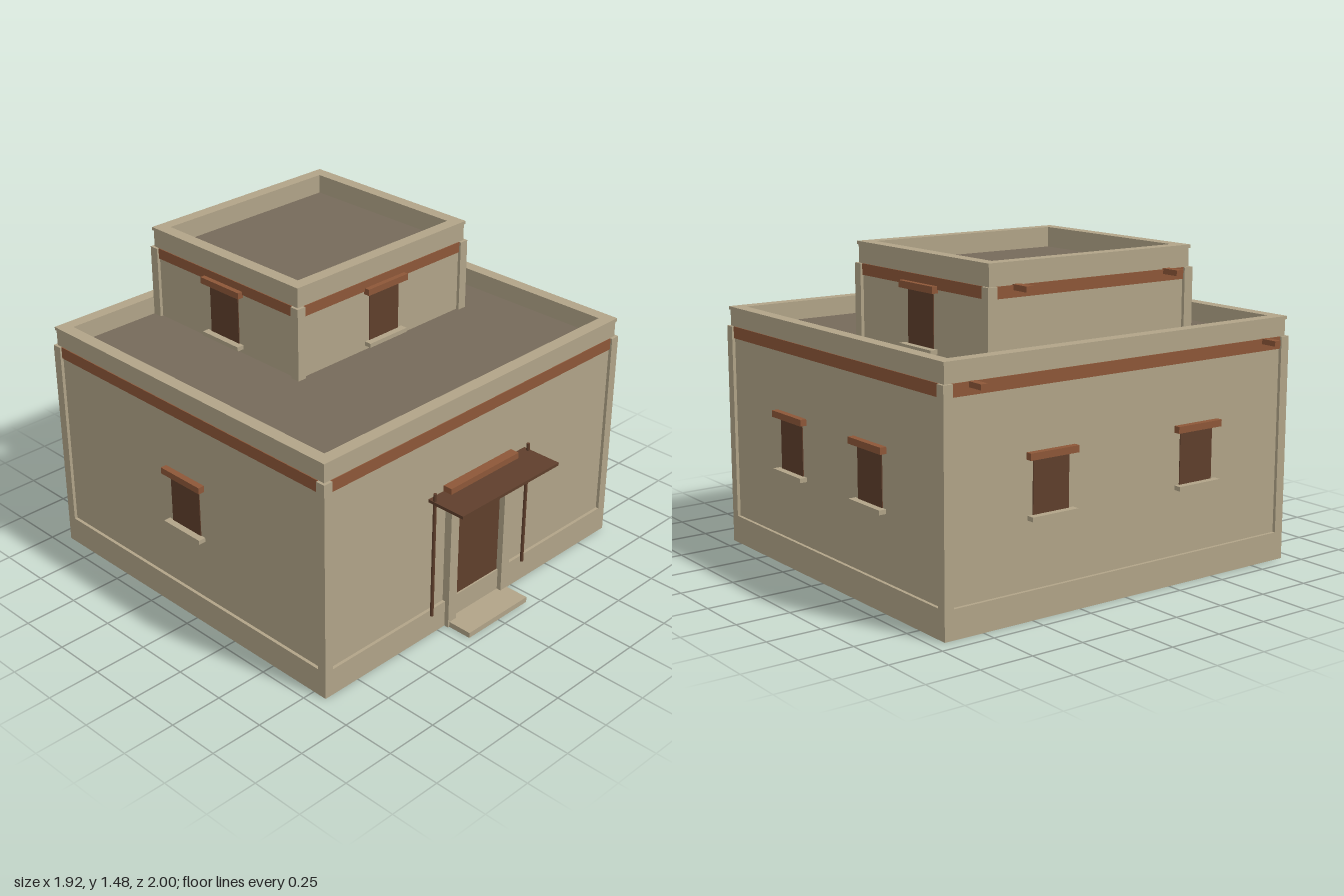
import * as THREE from 'three';

const mat = (name, color) => {
  const m = new THREE.MeshStandardMaterial({ color });
  m.name = name;
  return m;
};

export function createModel() {
  const adobe = mat('adobe', 0xb1a488);
  const roofClay = mat('roofClay', 0x766a5a);
  const brick = mat('brick', 0x8d5738);
  const wood = mat('darkWood', 0x5f3f2c);

  // Box given by its limits on each axis
  const box = (parent, name, material, [x0, x1], [y0, y1], [z0, z1]) => {
    const mesh = new THREE.Mesh(new THREE.BoxGeometry(x1 - x0, y1 - y0, z1 - z0), material);
    mesh.position.set((x0 + x1) / 2, (y0 + y1) / 2, (z0 + z1) / 2);
    mesh.name = name;
    parent.add(mesh);
    return mesh;
  };

  // Rectangular ring with half sizes hx, hz and wall thickness t
  const ring = (parent, name, hx, hz, t, y0, y1) => {
    const corners = (a, b) => [[-a, -b], [a, -b], [a, b], [-a, b]].map(p => new THREE.Vector2(...p));
    const shape = new THREE.Shape(corners(hx, hz));
    shape.holes.push(new THREE.Path(corners(hx - t, hz - t).reverse()));
    const geo = new THREE.ExtrudeGeometry(shape, { depth: y1 - y0, bevelEnabled: false });
    geo.rotateX(-Math.PI / 2);
    const mesh = new THREE.Mesh(geo, adobe);
    mesh.position.y = y0;
    mesh.name = name;
    parent.add(mesh);
  };

  const RECESS = 0.015;

  // One flat-roofed storey: core, corner posts, plinth, brick band, parapet and roof
  const storey = (name, { cx, cz, hx, hz, coreBottom, top, parapetTop, band }) => {
    const g = new THREE.Group();
    g.name = name;
    g.position.set(cx, 0, cz);
    const wx = hx - RECESS, wz = hz - RECESS, post = 0.045;
    box(g, 'wallCore', adobe, [-wx, wx], [coreBottom, top], [-wz, wz]);
    ring(g, 'plinth', hx, hz, RECESS, 0, 0.13);
    for (const sx of [-1, 1]) for (const sz of [-1, 1]) {
      const px = [sx * hx, sx * (hx - post)].sort((a, b) => a - b);
      const pz = [sz * hz, sz * (hz - post)].sort((a, b) => a - b);
      box(g, 'cornerPost', adobe, px, [0.13, top], pz);
    }
    const e = 0.006;
    for (const s of [-1, 1]) {
      const bz = [s * wz, s * (wz + e)].sort((a, b) => a - b);
      const bx = [s * wx, s * (wx + e)].sort((a, b) => a - b);
      box(g, 'brickBand', brick, [post - hx, hx - post], [band, top], bz);
      box(g, 'brickBand', brick, bx, [band, top], [post - hz, hz - post]);
    }
    ring(g, 'parapet', hx - 0.013, hz - 0.013, 0.055, top, parapetTop - 0.015);
    ring(g, 'parapetCap', hx - 0.008, hz - 0.008, 0.06, parapetTop - 0.015, parapetTop);
    box(g, 'roof', roofClay, [0.06 - hx, hx - 0.06], [top, top + 0.004], [0.06 - hz, hz - 0.06]);

    // Window with lintel and sill; side 0 front, 1 right, 2 back, 3 left
    g.userData.addWindow = (side, u, y) => {
      const w = new THREE.Group();
      w.name = 'window';
      box(w, 'pane', wood, [-0.093, 0.093], [y, y + 0.237], [0, 0.004]);
      box(w, 'lintel', brick, [-0.125, 0.125], [y + 0.235, y + 0.265], [0, 0.03]);
      box(w, 'sill', adobe, [-0.118, 0.118], [y - 0.02, y], [0, 0.035]);
      w.rotation.y = side * Math.PI / 2;
      w.position.set([u, wx, u, -wx][side], 0, [wz, u, -wz, u][side]);
      g.add(w);
    };
    return g;
  };

  const model = new THREE.Group();
  model.name = 'adobeHouse';

  const lower = storey('lowerStorey', {
    cx: 0, cz: -0.055, hx: 0.94, hz: 0.875, coreBottom: 0.13, top: 1.035, parapetTop: 1.125, band: 0.98,
  });
  const upper = storey('upperStorey', {
    cx: 0.1325, cz: -0.37, hx: 0.5425, hz: 0.49, coreBottom: 0, top: 1.38, parapetTop: 1.475, band: 1.33,
  });
  model.add(lower, upper);

  // Windows, placed along each wall relative to the storey centre
  for (const [side, u] of [[1, 0.32], [1, -0.32], [2, -0.4], [2, 0.4], [3, 0]]) {
    lower.userData.addWindow(side, u, 0.445);
  }
  for (const side of [0, 1, 3]) upper.userData.addWindow(side, 0, 1.08);
  for (const g of [lower, upper]) g.userData = {};

  // Roof beam ends on the back
  for (const x of [-0.8, 0.795]) {
    box(model, 'beamEnd', brick, [x - 0.017, x + 0.017], [1.012, 1.036], [-1, -0.9]);
  }
  for (const x of [-0.268, 0.527]) {
    box(model, 'beamEnd', brick, [x - 0.018, x + 0.018], [1.36, 1.384], [-0.935, -0.83]);
  }

  // Entrance
  const entrance = new THREE.Group();
  entrance.name = 'entrance';
  model.add(entrance);
  box(entrance, 'door', wood, [-0.152, 0.152], [0.13, 0.645], [0.805, 0.812]);
  box(entrance, 'doorHeader', adobe, [-0.152, 0.152], [0.645, 0.67], [0.805, 0.835]);
  box(entrance, 'doorLintel', brick, [-0.22, 0.22], [0.668, 0.725], [0.805, 0.85]);
  box(entrance, 'step', adobe, [-0.195, 0.195], [0, 0.026], [0.82, 0.96]);
  box(entrance, 'canopy', wood, [-0.315, 0.315], [0.683, 0.697], [0.805, 1]);
  for (const s of [-1, 1]) {
    const jamb = [s * 0.152, s * 0.203].sort((a, b) => a - b);
    box(entrance, 'doorJamb', adobe, jamb, [0, 0.668], [0.805, 0.842]);
    const pole = new THREE.Mesh(new THREE.CylinderGeometry(0.008, 0.008, 0.62, 8), wood);
    pole.name = 'canopyPole';
    pole.position.set(s * 0.305, 0.422, 0.834);
    entrance.add(pole);
  }
  return model;
}
